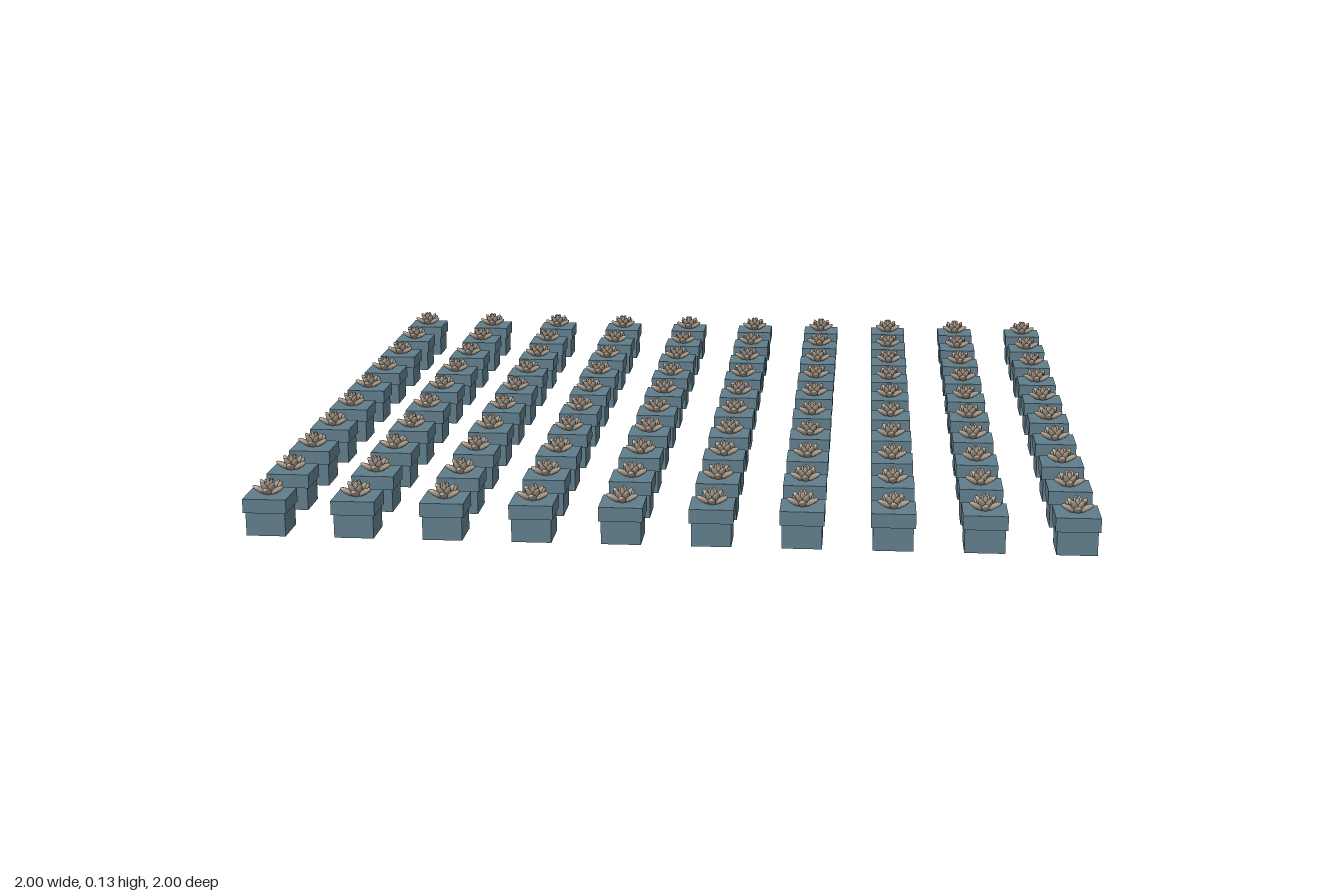
import * as THREE from 'three';
import { mergeGeometries } from 'three/addons/utils/BufferGeometryUtils.js';

const COUNT = 10, RIM = 0.104, BASE = 0.094, POT_TOP = 0.091, RIM_HEIGHT = 0.034;

// Plump leaf growing from the origin, tilted outwards and turned about y
function leaf(length, width, tilt, turn) {
  const g = new THREE.SphereGeometry(0.5, 7, 5);
  g.scale(width, length, width * 0.7);
  g.translate(0, length / 2, 0);
  g.rotateX(tilt);
  g.rotateY(turn);
  return g;
}

// Rosette of three tiers, five leaves each
function rosetteGeometry() {
  const tiers = [
    { length: 0.045, width: 0.021, tilt: 1.06, offset: 0 },
    { length: 0.041, width: 0.018, tilt: 0.62, offset: Math.PI / 5 },
    { length: 0.039, width: 0.014, tilt: 0.22, offset: 0 },
  ];
  const leaves = [];
  for (const t of tiers)
    for (let i = 0; i < 5; i++)
      leaves.push(leaf(t.length, t.width, t.tilt, t.offset + (i * Math.PI * 2) / 5));
  return mergeGeometries(leaves);
}

export function createModel() {
  const model = new THREE.Group();
  model.name = 'pottedPlantGrid';

  const potMaterial = new THREE.MeshStandardMaterial({ color: 0x607d8b });
  const leafMaterial = new THREE.MeshStandardMaterial({ color: 0xa89a8a });

  const baseHeight = POT_TOP - RIM_HEIGHT;
  const baseGeometry = new THREE.BoxGeometry(BASE, baseHeight, BASE).translate(0, baseHeight / 2, 0);
  const rimGeometry = new THREE.BoxGeometry(RIM, RIM_HEIGHT, RIM).translate(0, POT_TOP - RIM_HEIGHT / 2, 0);
  const plantGeometry = rosetteGeometry().translate(0, POT_TOP - 0.001, 0);

  const parts = [
    ['potBase', baseGeometry, potMaterial],
    ['potRim', rimGeometry, potMaterial],
    ['succulent', plantGeometry, leafMaterial],
  ];

  // Square grid of identical potted plants
  const pitch = (2 - RIM) / (COUNT - 1);
  for (let row = 0; row < COUNT; row++) {
    for (let col = 0; col < COUNT; col++) {
      const pot = new THREE.Group();
      pot.name = 'pottedPlant';
      for (const [name, geometry, material] of parts) {
        const mesh = new THREE.Mesh(geometry, material);
        mesh.name = name;
        pot.add(mesh);
      }
      pot.position.set((col - (COUNT - 1) / 2) * pitch, 0, (row - (COUNT - 1) / 2) * pitch);
      model.add(pot);
    }
  }
  return model;
}
